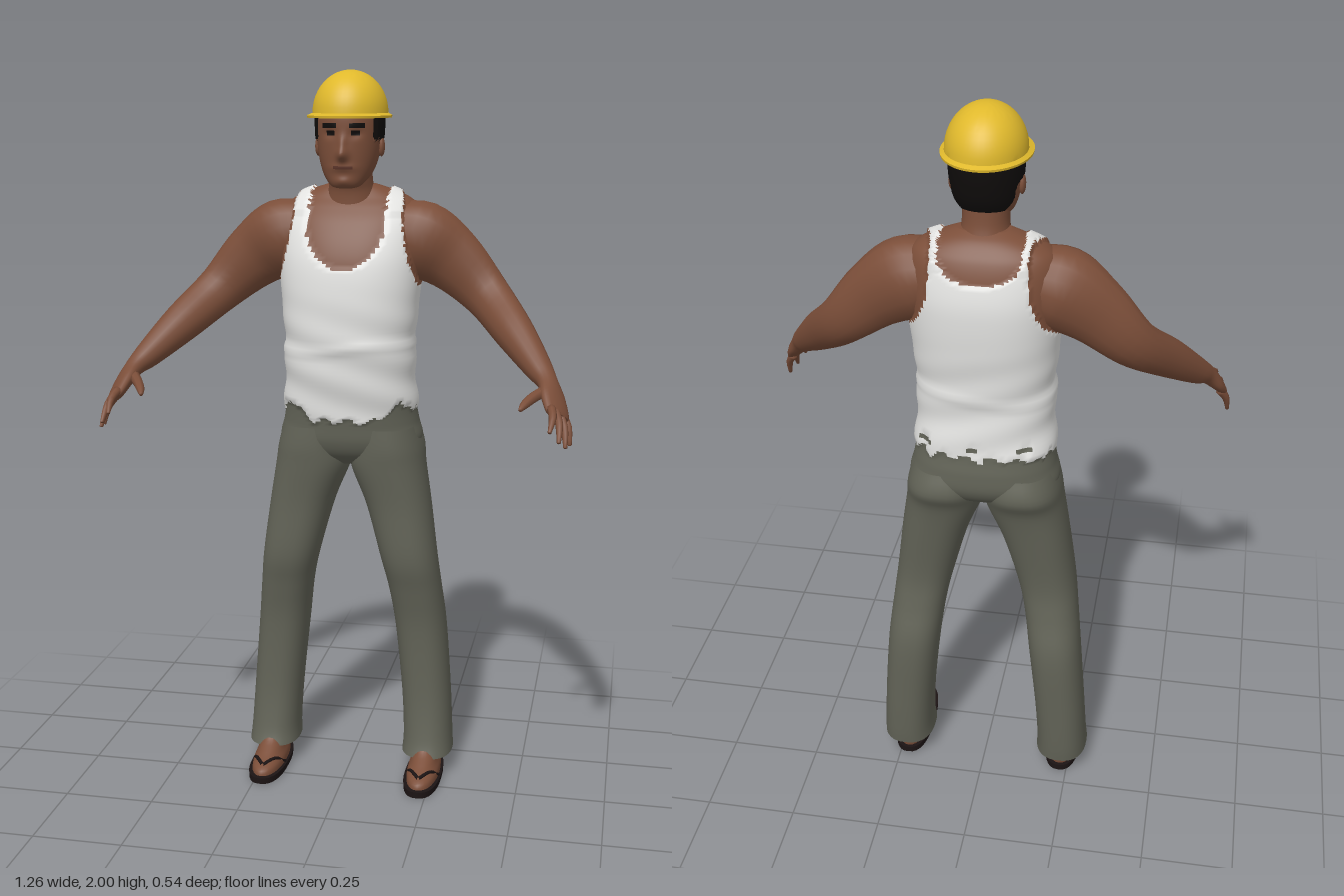
import * as THREE from 'three';
import { toCreasedNormals } from 'three/addons/utils/BufferGeometryUtils.js';

const mat = (name, color, side = THREE.FrontSide) =>
  Object.assign(new THREE.MeshStandardMaterial({ color, side }), { name });
const { smoothstep } = THREE.MathUtils;

// Smoothly resample rows of numbers (Catmull-Rom), sub steps per span
function resample(rows, sub) {
  const out = [];
  const at = (i) => rows[Math.min(rows.length - 1, Math.max(0, i))];
  for (let i = 0; i < rows.length - 1; i++) {
    for (let k = 0; k < sub; k++) {
      const t = k / sub;
      out.push(rows[i].map((b, c) => {
        const a = at(i - 1)[c], d = at(i + 1)[c], e = at(i + 2)[c];
        return b + 0.5 * t * (d - a + t * (2 * a - 5 * b + 4 * d - e + t * (3 * (b - d) + e - a)));
      }));
    }
  }
  out.push(rows[rows.length - 1]);
  return out;
}

// Closed skin over rings of points; pick(centre) chooses the material of each face
function skinOver(rings, { push, pick, cap = true } = {}) {
  const n = rings[0].length, pts = rings.flat();
  if (push) pts.forEach(push);
  const lists = [];
  const tri = (a, b, c, m) => (lists[m] ??= []).push(a, b, c);
  const mid = new THREE.Vector3();
  for (let i = 0; i < rings.length - 1; i++) {
    for (let j = 0; j < n; j++) {
      const k = (j + 1) % n;
      const a = i * n + j, b = i * n + k, c = b + n, d = a + n;
      mid.copy(pts[a]).add(pts[c]).multiplyScalar(0.5);
      const m = pick ? pick(mid) : 0;
      tri(a, b, c, m);
      tri(a, c, d, m);
    }
  }
  if (cap) {
    for (const [first, up] of [[0, false], [(rings.length - 1) * n, true]]) {
      const centre = new THREE.Vector3();
      for (let j = 0; j < n; j++) centre.addScaledVector(pts[first + j], 1 / n);
      const m = pick ? pick(centre) : 0;
      pts.push(centre);
      for (let j = 0; j < n; j++) {
        const a = first + j, b = first + (j + 1) % n;
        up ? tri(a, b, pts.length - 1, m) : tri(b, a, pts.length - 1, m);
      }
    }
  }
  const geo = new THREE.BufferGeometry().setFromPoints(pts);
  const index = [];
  lists.forEach((list, m) => {
    geo.addGroup(index.length, list.length, m);
    for (const v of list) index.push(v);
  });
  geo.setIndex(index);
  geo.computeVertexNormals();
  return geo;
}

// Stack of oval slices, bottom to top: [y, centreX, halfWidth, frontZ, backZ]
function loft(rows, { n = 32, sub = 5, p = 2.2, ...rest } = {}) {
  const pw = (v) => Math.sign(v) * Math.abs(v) ** (2 / p);
  return skinOver(resample(rows, sub).map(([y, cx, rx, zf, zb]) =>
    Array.from({ length: n }, (_, j) => {
      const a = (j / n) * Math.PI * 2;
      return new THREE.Vector3(cx + rx * pw(Math.sin(a)), y,
        (zf + zb) / 2 + ((zf - zb) / 2) * pw(Math.cos(a)));
    })), rest);
}

// Limb along a path: [x, y, z, halfWidth, halfHeight], mirrored by side s
function limb(rows, s, n = 16, sub = 5) {
  const path = resample(rows, sub);
  const pos = path.map(([x, y, z]) => new THREE.Vector3(x * s, y, z));
  return skinOver(path.map((row, i) => {
    const t = pos[Math.min(i + 1, pos.length - 1)].clone().sub(pos[Math.max(i - 1, 0)]).normalize();
    const up = new THREE.Vector3(0.6 * s, 0.75, 0.1);
    up.addScaledVector(t, -up.dot(t)).normalize();
    const b = up.clone().cross(t);
    return Array.from({ length: n }, (_, j) => {
      const a = (j / n) * Math.PI * 2;
      return pos[i].clone().addScaledVector(b, row[3] * Math.cos(a)).addScaledVector(up, row[4] * Math.sin(a));
    });
  }));
}

// Tank top outline: scooped neck, armholes and a ragged hem over the trousers
function torsoRegion({ x, y, z }) {
  const ax = Math.abs(x), back = z < -0.15;
  const hem = (back ? 1.1 : 1.06 + 0.045 * smoothstep(ax, 0.07, 0.14) - 0.02 * smoothstep(ax, 0.15, 0.18))
    + 0.008 * Math.sin(95 * x + 30 * z) + 0.006 * Math.sin(170 * z);
  if (y < hem) return 2;
  if (back && y < 1.15 && Math.sin(48 * x + 1) * Math.sin(85 * y) > 0.72) return 2;
  const neckY = back ? 1.66 : 1.6, depth = back ? 0.07 : 0.12;
  if (y > neckY ? ax < 0.106 : (ax / 0.108) ** 2 + ((neckY - y) / depth) ** 2 < 1) return 0;
  const s = Math.max(0, (1.66 - y) / 0.23), f = smoothstep(z, -0.22, -0.08);
  const edge = (1 - f) * (0.12 + 0.078 * s ** 3) + f * (0.148 + 0.045 * s ** 2);
  return y > 1.41 && ax > edge ? 0 : 1;
}

// Cloth stands slightly off the body, with soft folds at the waist
function torsoPush(v) {
  if (torsoRegion(v) !== 1) return;
  const fold = 0.005 * Math.exp(-(((v.y - 1.265 - 0.012 * Math.sin(14 * v.x)) / 0.012) ** 2))
    + 0.003 * Math.sin(55 * v.y + 18 * v.x) * smoothstep(1.45 - v.y, 0, 0.2);
  const k = 1 + (0.005 + fold) / 0.17;
  v.x *= k;
  v.z = -0.12 + (v.z + 0.12) * k;
  if (v.y > 1.62) v.y += 0.008;
}

// Hair, brows, eyes and lips marked out on the head
function headRegion({ x, y, z }) {
  const ax = Math.abs(x);
  if (y > 1.82 + 0.004 * Math.sin(300 * z) && z < -0.035) return 1;
  if (y > 1.75 && z < -0.135 - 0.3 * Math.max(0, 1.78 - y)) return 1;
  if (z < -0.04) return 0;
  if (Math.abs(y - 1.856) < 0.005 && ax > 0.016 && ax < 0.056) return 1;
  if (Math.abs(y - 1.838) < 0.004 && ax > 0.024 && ax < 0.046) return 1;
  return Math.abs(y - 1.748) < 0.004 && ax < 0.026 ? 2 : 0;
}

function headPush(v) {
  if (v.z > -0.04) {
    const bump = (x, y, w, h) => Math.exp(-(((v.x - x) / w) ** 2) - ((v.y - y) / h) ** 2);
    v.z += 0.022 * bump(0, 1.782, 0.014, 0.018) + 0.01 * bump(0, 1.81, 0.01, 0.02)
      + 0.005 * bump(0, 1.748, 0.03, 0.01) + 0.006 * bump(0, 1.712, 0.025, 0.012)
      - 0.006 * (bump(0.036, 1.836, 0.016, 0.011) + bump(-0.036, 1.836, 0.016, 0.011));
  } else if (headRegion(v) === 1) {
    v.x *= 1.06;
    v.z -= v.z < -0.12 ? 0.012 : 0;
  }
}

export function createModel() {
  const group = new THREE.Group();
  const skin = mat('skin', 0x7b4e39), shirt = mat('shirt white', 0xe2e2e0);
  const cloth = mat('trouser grey', 0x626357, THREE.DoubleSide), yellow = mat('hat yellow', 0xe0b92c);
  const hair = mat('hair black', 0x0f0c0b), lips = mat('lips', 0x5c352a), rubber = mat('sole', 0x1c1414);
  const add = (name, geo, m) => {
    const mesh = new THREE.Mesh(geo, m);
    mesh.name = name;
    group.add(mesh);
    return mesh;
  };

  // Torso with tank top and trouser waist
  add('torso', loft([
    [0.93, 0, 0.09, -0.06, -0.18], [0.96, 0, 0.17, -0.02, -0.235], [1.0, 0, 0.2, 0, -0.262],
    [1.05, 0, 0.19, 0.006, -0.264], [1.1, 0, 0.182, 0.012, -0.256], [1.2, 0, 0.176, 0.026, -0.244],
    [1.3, 0, 0.176, 0.033, -0.246], [1.4, 0, 0.185, 0.033, -0.257], [1.48, 0, 0.192, 0.024, -0.262],
    [1.54, 0, 0.195, 0.006, -0.26], [1.6, 0, 0.194, -0.024, -0.247], [1.64, 0, 0.182, -0.053, -0.232],
    [1.665, 0, 0.155, -0.075, -0.215], [1.685, 0, 0.11, -0.09, -0.195], [1.7, 0, 0.065, -0.1, -0.17],
  ], { n: 112, sub: 8, p: 2.35, push: torsoPush, pick: torsoRegion }), [skin, shirt, cloth]);

  // Neck and head
  add('neck', loft([
    [1.62, 0, 0.08, -0.06, -0.2], [1.68, 0, 0.064, -0.058, -0.185],
    [1.72, 0, 0.058, -0.045, -0.175], [1.79, 0, 0.058, -0.04, -0.17],
  ]), skin);
  add('head', loft([
    [1.694, 0, 0.024, -0.012, -0.05], [1.702, 0, 0.042, -0.002, -0.08], [1.73, 0, 0.064, 0.004, -0.14],
    [1.77, 0, 0.078, 0.008, -0.175], [1.82, 0, 0.085, 0.01, -0.19], [1.88, 0, 0.087, 0.01, -0.195],
    [1.92, 0, 0.08, -0.005, -0.185], [1.95, 0, 0.055, -0.04, -0.155],
  ], { n: 112, sub: 10, push: headPush, pick: headRegion }), [skin, hair, lips]);

  // Hard hat: brim flowing into a dome
  const dome = Array.from({ length: 13 }, (_, i) => {
    const a = (i / 12) * Math.PI / 2, c = Math.max(0.001, Math.cos(a));
    return [1.888 + 0.112 * Math.sin(a), 0, 0.101 * c, -0.102 + 0.12 * c, -0.102 - 0.12 * c];
  });
  add('hardHat', toCreasedNormals(loft(
    [[1.876, 0, 0.112, 0.051, -0.234], [1.882, 0, 0.113, 0.052, -0.235], ...dome],
    { n: 48, sub: 1, p: 2 }), 0.6), yellow);

  for (const s of [1, -1]) {
    const side = s > 0 ? 'left' : 'right';

    // Ear
    const ear = add(side + 'Ear', new THREE.SphereGeometry(1, 14, 10), skin);
    ear.scale.set(0.009, 0.026, 0.017);
    ear.position.set(0.086 * s, 1.8, -0.095);

    // Arm and hand
    add(side + 'Arm', limb([
      [0.1, 1.57, -0.135, 0.075, 0.08], [0.19, 1.55, -0.135, 0.088, 0.108],
      [0.28, 1.495, -0.138, 0.062, 0.09], [0.375, 1.405, -0.118, 0.05, 0.066],
      [0.46, 1.32, -0.025, 0.047, 0.054], [0.53, 1.245, 0.06, 0.036, 0.037],
      [0.558, 1.215, 0.1, 0.03, 0.026], [0.575, 1.183, 0.137, 0.043, 0.021],
      [0.588, 1.152, 0.17, 0.043, 0.016], [0.593, 1.142, 0.182, 0.036, 0.01],
    ], s), skin);
    const tips = [[0.577, 1.12, 0.268], [0.6, 1.092, 0.255], [0.615, 1.072, 0.222], [0.624, 1.068, 0.175]];
    tips.forEach(([x, y, z], i) => {
      const o = (i - 1.5) * 0.021;
      const base = [0.587 + 0.4 * o, 1.155 - 0.4 * o, 0.168 - 0.82 * o];
      const bend = [(base[0] + x) / 2 + 0.006, (base[1] + y) / 2 + 0.006, (base[2] + z) / 2];
      add(`${side}Finger${i + 1}`, limb([
        [...base, 0.011, 0.012], [...bend, 0.01, 0.01], [x, y, z, 0.005, 0.005],
      ], s, 8, 3), skin);
    });
    add(side + 'Thumb', limb([
      [0.56, 1.2, 0.12, 0.016, 0.016], [0.528, 1.188, 0.168, 0.014, 0.014],
      [0.508, 1.175, 0.205, 0.011, 0.011], [0.499, 1.165, 0.226, 0.005, 0.005],
    ], s, 8, 3), skin);

    // Trouser leg: [y, innerX, outerX, frontZ, backZ]
    add(side + 'TrouserLeg', loft([
      [0.065, 0.156, 0.302, -0.033, -0.23], [0.12, 0.158, 0.298, -0.048, -0.235],
      [0.25, 0.15, 0.29, -0.062, -0.24], [0.44, 0.13, 0.275, -0.06, -0.242],
      [0.56, 0.113, 0.262, -0.04, -0.217], [0.66, 0.09, 0.25, -0.018, -0.205],
      [0.81, 0.048, 0.23, -0.016, -0.222], [0.92, 0.004, 0.213, -0.006, -0.242],
      [0.98, 0, 0.205, -0.001, -0.268], [1.04, 0.004, 0.188, -0.002, -0.252],
    ].map(([y, a, b, f, k]) => [y, (s * (a + b)) / 2, (b - a) / 2, f, k]),
    { n: 40, p: 2.4, cap: false }), cloth);

    // Foot, sandal sole and strap
    const cx = 0.228 * s;
    add(side + 'Foot', loft([
      [0.016, cx, 0.046, 0.072, -0.19], [0.035, cx, 0.045, 0.062, -0.192], [0.06, cx, 0.038, 0.005, -0.188],
      [0.1, cx, 0.036, -0.05, -0.18], [0.2, cx, 0.04, -0.07, -0.18],
    ]), skin);
    add(side + 'SandalSole', toCreasedNormals(loft(
      [[0, cx, 0.052, 0.084, -0.2], [0.018, cx, 0.053, 0.085, -0.2]], { sub: 1, p: 2.5 }), 0.6), rubber);
    for (const e of [1, -1]) {
      const strap = new THREE.CatmullRomCurve3([
        new THREE.Vector3(cx, 0.044, 0.05), new THREE.Vector3(cx + 0.026 * e, 0.05, 0.015),
        new THREE.Vector3(cx + 0.046 * e, 0.018, -0.04),
      ]);
      add(side + 'SandalStrap', new THREE.TubeGeometry(strap, 10, 0.005, 6), rubber);
    }
  }
  return group;
}
